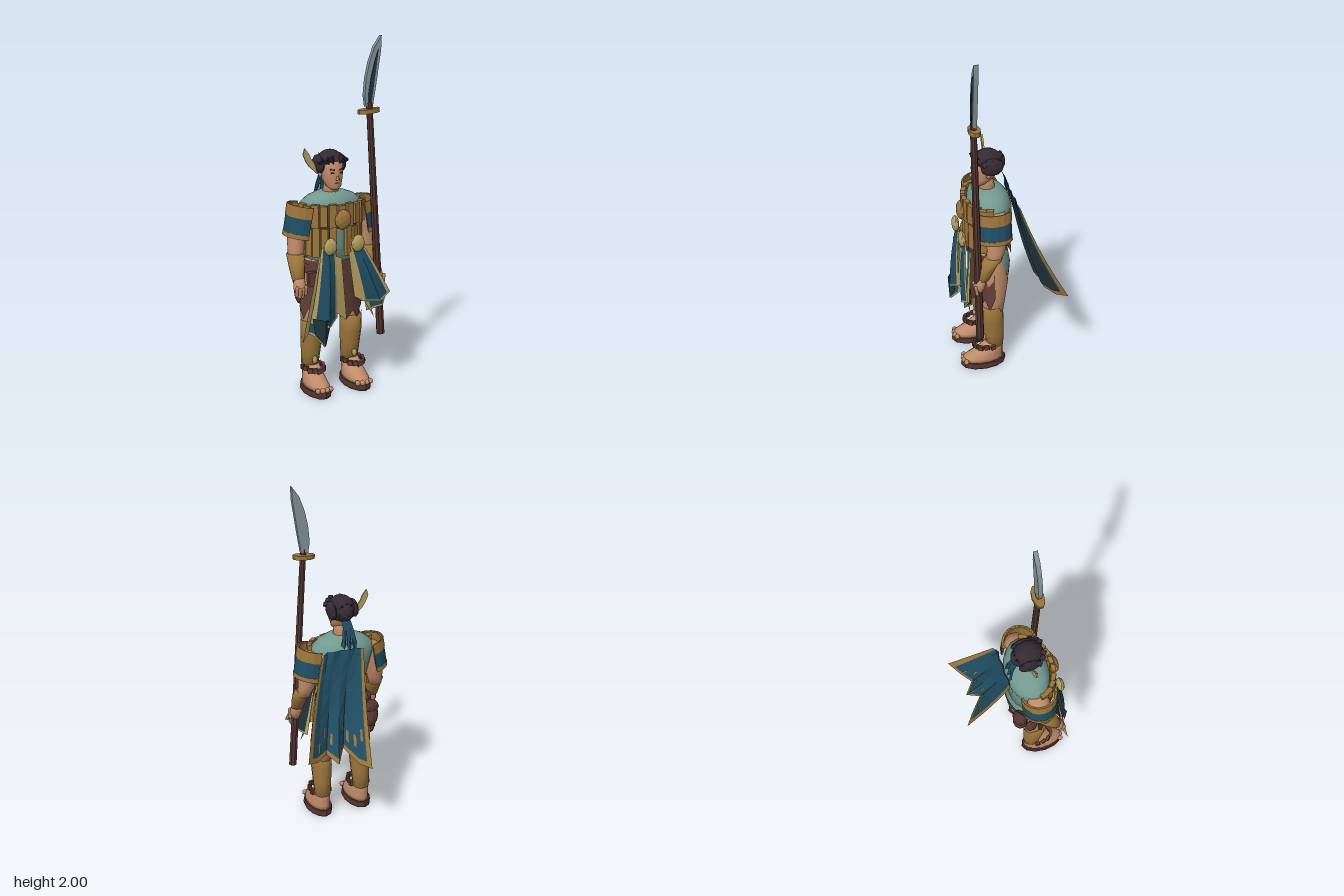
import * as THREE from 'three';

const mat = (name, color, side = THREE.FrontSide) => {
  const m = new THREE.MeshStandardMaterial({ color, side });
  m.name = name;
  return m;
};
const BOTH = THREE.DoubleSide;
const V = (x, y, z) => new THREE.Vector3(x, y, z);

export function createModel() {
  const skin = mat('skin', 0xc18c6b), teal = mat('teal tunic', 0x739a8f), hair = mat('black hair', 0x342b32);
  const ochre = mat('ochre leather', 0x9c763b, BOTH), gold = mat('pale gold', 0xb5a064, BOTH);
  const blue = mat('blue cloth', 0x204e63, BOTH), brown = mat('brown leather', 0x5f3d33, BOTH);
  const wood = mat('dark wood', 0x523530), steel = mat('steel', 0x84959a), dark = mat('dark lining', 0x21343d, BOTH);

  const root = new THREE.Group();
  root.name = 'spearGuard';
  const body = new THREE.Group();
  body.name = 'body';
  body.position.x = -0.04;
  root.add(body);

  const add = (parent, name, geo, material, p = [0, 0, 0], r = [0, 0, 0], s = [1, 1, 1]) => {
    const m = new THREE.Mesh(geo, material);
    m.name = name;
    m.position.set(...p);
    m.rotation.set(...r);
    m.scale.set(...s);
    parent.add(m);
  };
  const flat = (g) => {
    const f = g.index ? g.toNonIndexed() : g;
    f.computeVertexNormals();
    return f;
  };
  const box = (w, h, d) => new THREE.BoxGeometry(w, h, d);
  const rock = () => flat(new THREE.IcosahedronGeometry(1, 1));

  // closed skin over horizontal ellipses [x, y, z, rx, rz], listed bottom to top
  const loft = (rings, n = 14) => {
    const pos = [], idx = [], last = rings.length - 1;
    for (const [x, y, z, rx, rz] of rings)
      for (let j = 0; j < n; j++) {
        const a = (j / n) * Math.PI * 2;
        pos.push(x + rx * Math.sin(a), y, z + rz * Math.cos(a));
      }
    pos.push(...rings[0].slice(0, 3), ...rings[last].slice(0, 3));
    const c0 = rings.length * n;
    for (let j = 0; j < n; j++) {
      const k = (j + 1) % n;
      for (let i = 0; i < last; i++) {
        const a = i * n + j, b = i * n + k;
        idx.push(a, b, b + n, a, b + n, a + n);
      }
      idx.push(c0, k, j, c0 + 1, last * n + j, last * n + k);
    }
    const g = new THREE.BufferGeometry();
    g.setAttribute('position', new THREE.Float32BufferAttribute(pos, 3));
    g.setIndex(idx);
    g.computeVertexNormals();
    return g;
  };

  // cloth ruled between a top and a bottom polyline
  const along = (pts, u) => {
    const t = Math.min(Math.max(u, 0), 1) * (pts.length - 1), i = Math.min(Math.floor(t), pts.length - 2);
    return V(...pts[i]).lerp(V(...pts[i + 1]), t - i);
  };
  const ruled = (top, bottom, bulge = 0) => (u, v) => {
    const p = along(top, u).lerp(along(bottom, u), v);
    p.z += bulge * Math.sin(Math.PI * v);
    return p;
  };
  const cloth = (fn, us, vs, keep = () => true) => {
    const pos = [];
    for (let i = 0; i < us.length - 1; i++)
      for (let j = 0; j < vs.length - 1; j++) {
        if (!keep(i, j)) continue;
        const a = fn(us[i], vs[j]), b = fn(us[i + 1], vs[j]), c = fn(us[i + 1], vs[j + 1]), d = fn(us[i], vs[j + 1]);
        for (const p of [a, d, c, a, c, b]) pos.push(p.x, p.y, p.z);
      }
    const g = new THREE.BufferGeometry();
    g.setAttribute('position', new THREE.Float32BufferAttribute(pos, 3));
    g.computeVertexNormals();
    return g;
  };
  const steps = (n) => Array.from({ length: n + 1 }, (_, i) => i / n);

  // torso, hips and neck
  add(body, 'tunic', loft([[0, 0.73, 0.073, 0.14, 0.1], [0, 0.86, 0.08, 0.142, 0.105], [0, 0.96, 0.079, 0.168, 0.115],
    [0, 1.04, 0.076, 0.19, 0.124], [0, 1.09, 0.08, 0.182, 0.116], [0, 1.125, 0.084, 0.14, 0.095],
    [0, 1.15, 0.088, 0.075, 0.062]], 20), teal);
  add(body, 'shorts', loft([[0, 0.52, 0.05, 0.09, 0.062], [0, 0.58, 0.055, 0.138, 0.092], [0, 0.66, 0.063, 0.162, 0.104],
    [0, 0.74, 0.072, 0.155, 0.1], [0, 0.79, 0.078, 0.135, 0.094]], 18), teal);
  add(body, 'neck', loft([[0, 1.12, 0.085, 0.05, 0.05], [0, 1.21, 0.095, 0.038, 0.042]]), skin);

  // arms and legs, mirrored
  for (const s of [1, -1]) {
    const side = s > 0 ? 'left' : 'right';
    const limb = (name, rings, m, n) => add(body, side + name, loft(rings.map(([x, ...r]) => [s * x, ...r]), n), m);
    limb('UpperArm', [[0.228, 0.79, 0.11, 0.042, 0.045], [0.216, 0.85, 0.09, 0.047, 0.052], [0.21, 0.93, 0.085, 0.053, 0.06],
      [0.195, 1.01, 0.08, 0.062, 0.066], [0.17, 1.07, 0.08, 0.05, 0.052]], skin);
    limb('Bracer', [[0.24, 0.69, 0.172, 0.036, 0.036], [0.236, 0.76, 0.145, 0.046, 0.047], [0.23, 0.82, 0.11, 0.05, 0.05]], ochre, 10);
    limb('Hand', [[0.243, 0.61, 0.2, 0.022, 0.026], [0.243, 0.645, 0.196, 0.036, 0.034], [0.24, 0.7, 0.18, 0.03, 0.03]], skin, 10);
    for (let i = 0; i < 4; i++)
      add(body, side + 'Finger', new THREE.CapsuleGeometry(0.0105, 0.045, 3, 6), skin,
        [s * (0.217 + i * 0.018), 0.63 + (i % 3 ? -0.008 : 0.004), 0.218], [0.2, 0, 0]);
    add(body, side + 'Thumb', new THREE.CapsuleGeometry(0.012, 0.04, 3, 6), skin, [s * 0.21, 0.65, 0.195], [0, 0, s * 0.2]);

    limb('Thigh', [[0.125, 0.36, 0.088, 0.052, 0.06], [0.12, 0.46, 0.082, 0.062, 0.07], [0.102, 0.58, 0.075, 0.08, 0.084],
      [0.094, 0.68, 0.08, 0.083, 0.076], [0.094, 0.77, 0.088, 0.062, 0.06]], skin);
    limb('ShinGuard', [[0.127, 0.13, 0.075, 0.048, 0.05], [0.126, 0.22, 0.085, 0.054, 0.062], [0.125, 0.32, 0.095, 0.061, 0.072],
      [0.125, 0.415, 0.1, 0.06, 0.072]], ochre, 12);
    add(body, side + 'ShinStud', rock(), gold, [s * 0.127, 0.185, 0.142], [0, 0, 0], [0.016, 0.024, 0.012]);

    // feet and sandals
    limb('Foot', [[0.127, 0.03, 0.155, 0.064, 0.128], [0.127, 0.06, 0.15, 0.064, 0.122], [0.127, 0.1, 0.115, 0.056, 0.085],
      [0.127, 0.15, 0.082, 0.046, 0.054]], skin);
    add(body, side + 'Sole', flat(loft([[s * 0.127, 0, 0.15, 0.073, 0.134], [s * 0.127, 0.012, 0.15, 0.077, 0.138],
      [s * 0.127, 0.038, 0.15, 0.073, 0.134]], 12)), wood);
    for (let i = 0; i < 4; i++)
      add(body, side + 'Toe', new THREE.SphereGeometry(0.016, 8, 6), skin, [s * (0.086 + i * 0.027), 0.046, 0.262 + (i % 3 ? 0.008 : 0)]);
    for (let i = -4; i <= 4; i++) {
      const a = i * 0.42;
      add(body, side + 'AnkletBead', box(0.03, 0.026, 0.018), brown,
        [s * 0.127 + 0.056 * Math.sin(a), 0.138 + (i % 2 ? 0.004 : 0), 0.11 + 0.095 * Math.cos(a)], [0, a, 0.2]);
    }

    // banded shoulder guards with a leather lining, tipped up at the outside
    const band = (y, h, r, m) => {
      const sh = new THREE.Shape();
      sh.absarc(0, 0, r, -Math.PI / 2, Math.PI / 2, false);
      sh.absarc(0, 0, r - 0.007, Math.PI / 2, -Math.PI / 2, true);
      const g = new THREE.ExtrudeGeometry(sh, { depth: h, bevelEnabled: false, curveSegments: 4 });
      g.rotateX(-Math.PI / 2);
      g.translate(0, y - 1.01, 0);
      add(body, side + 'ShoulderGuard', g, m, [s * 0.172, 0.996, 0.092], [0, s > 0 ? 0 : Math.PI, 0.17]);
    };
    band(0.925, 0.17, 0.098, ochre);
    band(1.035, 0.065, 0.105, ochre);
    band(0.945, 0.09, 0.102, blue);
    band(0.92, 0.025, 0.104, ochre);

    // chest bosses
    add(body, side + 'Boss', rock(), gold, [s * 0.085, 0.875, 0.255], [0, 0, 0], [0.041, 0.05, 0.022]);
  }

  // plank breastplate wrapped round the chest
  for (let i = -5; i <= 5; i++) {
    const a = i * 0.27, x = Math.sin(a), z = Math.cos(a), tall = i % 2 ? 0.014 : 0;
    add(body, 'upperPlank', box(0.042, 0.115 + tall, 0.026), ochre, [0.19 * x, 1.035, 0.085 + 0.135 * z], [0, a, 0]);
    if (i) add(body, 'lowerPlank', box(0.04, 0.155 + tall, 0.022), ochre, [0.178 * x, 0.885, 0.085 + 0.13 * z], [0, a, 0]);
  }
  add(body, 'plankCord', new THREE.CylinderGeometry(1, 1, 0.02, 16, 1, true, -1.4, 2.8), brown, [0, 0.97, 0.085], [0, 0, 0], [0.182, 1, 0.13]);
  add(body, 'medallion', rock(), ochre, [0, 1.015, 0.24], [0, 0, 0], [0.05, 0.058, 0.026]);

  // belt and pouches
  add(body, 'belt', new THREE.CylinderGeometry(1, 1, 0.055, 14, 1, true, Math.PI * 0.85, Math.PI * 0.95), brown, [0, 0.725, 0.07], [0, 0, 0], [0.178, 1, 0.118]);
  add(body, 'pouch', rock(), brown, [-0.145, 0.65, -0.01], [0, 0, 0], [0.048, 0.085, 0.045]);
  add(body, 'pouchFlap', rock(), wood, [-0.145, 0.7, -0.012], [0, 0, 0], [0.051, 0.04, 0.044]);
  add(body, 'smallPouch', rock(), brown, [-0.178, 0.58, 0.05], [0.1, 0, 0.1], [0.03, 0.085, 0.036]);
  add(body, 'frontPouch', box(0.05, 0.08, 0.035), brown, [-0.16, 0.68, 0.175]);

  // ragged underskirt
  const skirtTop = [-1.5, -1, -0.5, 0, 0.5, 1, 1.5].map((a) => [0.165 * Math.sin(a), 0.77, 0.08 + 0.115 * Math.cos(a)]);
  const hem = [0.5, 0.43, 0.5, 0.41, 0.47, 0.4, 0.5, 0.42, 0.46, 0.4, 0.48, 0.41, 0.5];
  const skirtHem = hem.map((y, i) => {
    const a = -1.5 + i * 0.25;
    return [0.195 * Math.sin(a), y, 0.08 + 0.12 * Math.cos(a)];
  });
  add(body, 'underskirt', cloth(ruled(skirtTop, skirtHem), steps(12), steps(2)), brown);

  // edged cloth: blue field and border, with a dark lining set off by dz
  const edged = (name, fn, us, vs, trim, dz) => {
    const border = (i, j) => i === 0 || i === us.length - 2 || j === vs.length - 2;
    const field = (i, j) => !border(i, j);
    add(root, name, cloth(fn, us, vs, field), blue);
    add(root, name + 'Trim', cloth(fn, us, vs, border), trim);
    add(root, name + 'Lining', cloth((u, v) => fn(u, v).add(V(0, 0, dz)), us, vs, field), dark);
  };
  const sash = [0, 0.13, 0.5, 0.87, 1], drop = [0, 0.25, 0.5, 0.75, 0.97, 1];
  edged('rightSash', ruled([[-0.17, 0.87, 0.235], [-0.13, 0.87, 0.25], [-0.085, 0.87, 0.24]],
    [[-0.24, 0.45, 0.24], [-0.15, 0.42, 0.295], [-0.08, 0.46, 0.25]], 0.01), sash, drop, gold, -0.005);
  edged('leftSash', ruled([[0.0, 0.87, 0.24], [0.04, 0.87, 0.25], [0.08, 0.87, 0.235]],
    [[0.075, 0.53, 0.24], [0.17, 0.53, 0.295], [0.245, 0.57, 0.27]], 0.01), sash, drop, gold, -0.005);
  edged('rightOuterSash', ruled([[-0.175, 0.82, 0.22], [-0.12, 0.82, 0.23]],
    [[-0.3, 0.35, 0.265], [-0.24, 0.4, 0.235], [-0.175, 0.31, 0.285], [-0.13, 0.38, 0.24]]), [0, 0.26, 0.45, 0.67, 0.95, 1], drop, gold, -0.005);
  edged('leftOuterSash', ruled([[0.06, 0.82, 0.23], [0.115, 0.82, 0.22]],
    [[0.12, 0.46, 0.22], [0.19, 0.5, 0.285], [0.225, 0.56, 0.26]]), [0, 0.12, 0.5, 0.74, 1], drop, gold, -0.005);
  // dark folded tips below the blue
  add(root, 'rightSashTip', cloth(ruled([[-0.235, 0.48, 0.255], [-0.175, 0.47, 0.3], [-0.125, 0.47, 0.275]],
    [[-0.22, 0.38, 0.26], [-0.172, 0.315, 0.292], [-0.135, 0.4, 0.265]]), steps(4), steps(1)), dark);
  add(root, 'rightInnerSash', cloth(ruled([[-0.1, 0.82, 0.24], [-0.05, 0.8, 0.245]],
    [[-0.115, 0.41, 0.25], [-0.085, 0.49, 0.255], [-0.015, 0.43, 0.24]]), steps(4), steps(3)), gold);
  add(root, 'leftInnerSash', cloth(ruled([[-0.005, 0.82, 0.24], [0.03, 0.84, 0.24]],
    [[0.035, 0.56, 0.235], [0.09, 0.53, 0.25], [0.16, 0.42, 0.24]]), steps(4), steps(3)), gold);

  // cape swept out behind, with frayed patches
  const cape = ruled([[-0.12, 1.09, -0.05], [-0.075, 1.1, -0.045], [-0.03, 1.1, -0.055], [0.015, 1.1, -0.045], [0.06, 1.1, -0.055], [0.1, 1.1, -0.045], [0.14, 1.08, -0.06]],
    [[-0.06, 0.46, -0.305], [0, 0.48, -0.255], [0.065, 0.56, -0.18], [0.12, 0.5, -0.25], [0.175, 0.55, -0.195], [0.25, 0.54, -0.245], [0.325, 0.57, -0.295]], 0.018);
  edged('cape', cape, [0, 0.06, 1 / 6, 1 / 3, 0.5, 2 / 3, 5 / 6, 0.93, 1], [0, 0.2, 0.4, 0.6, 0.8, 0.955, 1], ochre, 0.006);
  [[0.1, 0.7], [0.19, 0.78], [0.28, 0.8], [0.37, 0.72], [0.45, 0.84], [0.6, 0.78], [0.71, 0.72], [0.8, 0.83]].forEach(([u0, v0]) => {
    const lifted = (u, v) => cape(u, v).add(V(0, 0.003, -0.007));
    add(root, 'capeFray', cloth(lifted, [u0, u0 + 0.032], [v0, v0 + 0.1]), ochre);
  });

  // head and face
  const head = new THREE.Group();
  head.name = 'head';
  body.add(head);
  add(head, 'face', loft([[0, 1.165, 0.138, 0.02, 0.022], [0, 1.183, 0.125, 0.042, 0.046], [0, 1.22, 0.105, 0.056, 0.066],
    [0, 1.26, 0.1, 0.062, 0.074], [0, 1.31, 0.093, 0.064, 0.076], [0, 1.35, 0.088, 0.045, 0.055]], 16), skin);
  add(head, 'nose', new THREE.ConeGeometry(0.012, 0.04, 4), skin, [0, 1.243, 0.174], [-0.2, 0, 0]);
  add(head, 'mouth', box(0.028, 0.006, 0.006), brown, [0, 1.205, 0.168]);
  for (const s of [1, -1]) {
    add(head, 'eye', box(0.018, 0.008, 0.006), dark, [s * 0.026, 1.262, 0.168], [0, s * 0.3, 0]);
    add(head, 'brow', box(0.026, 0.006, 0.008), hair, [s * 0.027, 1.28, 0.165], [0, s * 0.3, s * 0.15]);
    add(head, 'ear', rock(), skin, [s * 0.063, 1.25, 0.09], [0, 0, 0], [0.01, 0.022, 0.016]);
    add(head, 'sideHair', rock(), hair, [s * 0.066, 1.3, 0.07], [0, 0, 0], [0.023, 0.055, 0.066]);
    // parted fringe
    for (let i = 1; i <= 3; i++)
      add(head, 'fringe', flat(new THREE.ConeGeometry(0.02, 0.05, 4)), hair,
        [s * (0.005 + i * 0.02), 1.335 - i * 0.008, 0.165 - i * i * 0.005], [Math.PI - 0.1, 0, s * (0.2 + i * 0.2)]);
  }

  // hair, bun and ribbons
  const cap = new THREE.SphereGeometry(1, 14, 9, 0, Math.PI * 2, 0, Math.PI * 0.6);
  cap.rotateX(-0.62);
  add(head, 'hairCap', flat(cap), hair, [0, 1.3, 0.083], [0, 0, 0], [0.078, 0.08, 0.088]);
  add(head, 'bun', rock(), hair, [0, 1.3, 0.024], [0, 0, 0], [0.048, 0.058, 0.044]);
  for (let i = -1; i <= 1; i++) {
    add(head, 'bunTuft', flat(new THREE.ConeGeometry(0.016, 0.035, 4)), hair, [i * 0.026, 1.345 - Math.abs(i) * 0.008, 0.008], [-0.7, 0, -i * 0.3]);
    add(head, 'ribbon', cloth(ruled([[i * 0.013 - 0.01, 1.26, 0.015], [i * 0.013 + 0.01, 1.26, 0.015]],
      [[i * 0.034 - 0.014, 1.12, -0.026], [i * 0.034, 1.08 + 0.02 * i, -0.042], [i * 0.034 + 0.014, 1.12, -0.026]], -0.012), steps(2), steps(3)), blue);
  }

  // plates cut from an outline in x and y
  const plate = (name, pts, depth, m, z) => add(root, name, new THREE.ExtrudeGeometry(
    new THREE.Shape(pts.map((p) => new THREE.Vector2(...p))), { depth, bevelEnabled: false }), m, [0, 0, z]);
  plate('feather', [[-0.115, 1.245], [-0.135, 1.31], [-0.155, 1.335], [-0.165, 1.36], [-0.192, 1.395], [-0.203, 1.36], [-0.185, 1.32], [-0.165, 1.29]], 0.01, gold, 0.07);

  // spear
  const foot = V(0.226, 0.3, 0.2), tip = V(0.138, 1.64, 0.2), dir = tip.clone().sub(foot);
  const lean = Math.atan2(-dir.x, dir.y), mid = foot.clone().add(tip).multiplyScalar(0.5).toArray();
  add(root, 'spearShaft', flat(new THREE.CylinderGeometry(0.018, 0.024, dir.length(), 8)), wood, mid, [0, 0, lean]);
  add(root, 'spearCollar', flat(new THREE.CylinderGeometry(1, 1, 0.024, 10)), ochre, [0.138, 1.595, 0.195], [0, 0, lean], [0.066, 1, 0.033]);
  plate('blade', [[0.114, 1.62], [0.105, 1.68], [0.113, 1.77], [0.133, 1.86], [0.163, 1.94], [0.206, 2], [0.203, 1.92], [0.189, 1.83],
    [0.176, 1.74], [0.162, 1.66], [0.156, 1.62]], 0.025, steel, 0.184);
  plate('bladeInlay', [[0.13, 1.64], [0.128, 1.69], [0.142, 1.78], [0.165, 1.87], [0.186, 1.93], [0.176, 1.85], [0.16, 1.74], [0.146, 1.64]], 0.005, dark, 0.208);

  return root;
}
